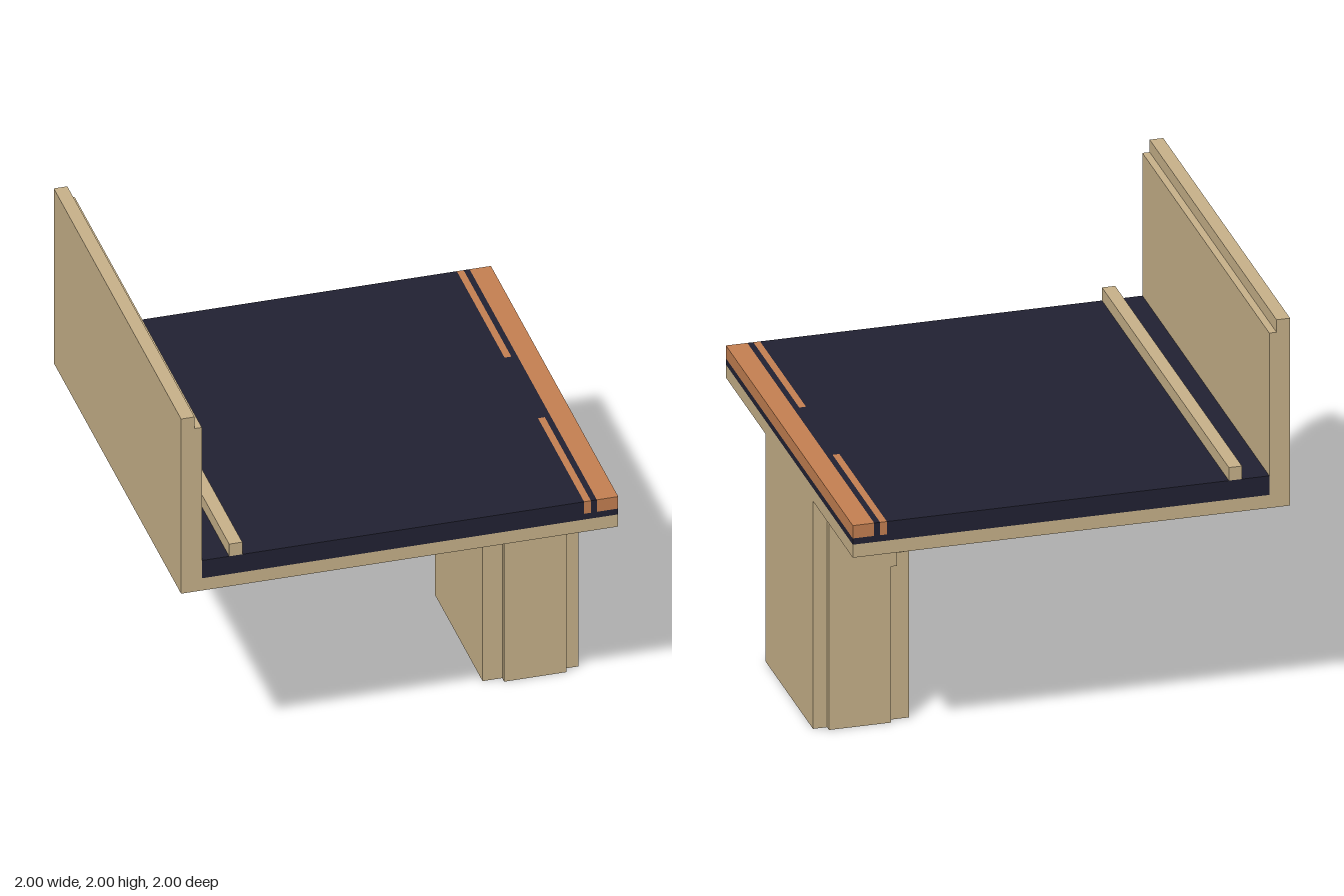
import * as THREE from 'three';

export function createModel() {
  const group = new THREE.Group();
  const stone = new THREE.MeshStandardMaterial({ color: 0xc9b38b });
  stone.name = 'sandstone';
  const navy = new THREE.MeshStandardMaterial({ color: 0x222233 });
  navy.name = 'dark navy';
  const orange = new THREE.MeshStandardMaterial({ color: 0xc68152 });
  orange.name = 'terracotta';

  // Extrude an x/y profile between two z positions
  function extrude(name, points, z0, z1, material) {
    const shape = new THREE.Shape(points.map(([x, y]) => new THREE.Vector2(x, y)));
    const geometry = new THREE.ExtrudeGeometry(shape, { depth: z1 - z0, bevelEnabled: false });
    geometry.translate(0, 0, z0);
    const mesh = new THREE.Mesh(geometry, material);
    mesh.name = name;
    group.add(mesh);
  }

  // Box given by its limits
  function box(name, x0, x1, y0, y1, z0, z1, material) {
    const mesh = new THREE.Mesh(new THREE.BoxGeometry(x1 - x0, y1 - y0, z1 - z0), material);
    mesh.position.set((x0 + x1) / 2, (y0 + y1) / 2, (z0 + z1) / 2);
    mesh.name = name;
    group.add(mesh);
  }

  // Deck slab and parapet wall with stepped top
  extrude('deckAndParapet', [
    [-1, 1.097], [1, 1.097], [1, 1.16], [-0.905, 1.16],
    [-0.905, 1.94], [-0.938, 1.94], [-0.938, 2], [-1, 2],
  ], -1, 1, stone);

  // Pier core with stepped bracket
  extrude('pierCore', [
    [1, 0], [1, 1.097], [0.092, 1.097], [0.092, 1.065], [0.123, 1.065], [0.123, 0.94],
    [0.187, 0.94], [0.187, 0.91], [0.28, 0.91], [0.28, 0.848], [0.405, 0.848],
    [0.405, 0.815], [0.562, 0.815], [0.562, 0],
  ], -0.373, 0.373, stone);

  // Raised panels on the front and back of the pier
  const panel = [
    [0.936, 0], [0.936, 1.097], [0.155, 1.097], [0.155, 1.004], [0.218, 1.004], [0.218, 0.94],
    [0.311, 0.94], [0.311, 0.91], [0.438, 0.91], [0.438, 0.848], [0.593, 0.848],
    [0.593, 0.815], [0.624, 0.815], [0.624, 0.752], [0.652, 0.752], [0.652, 0],
  ];
  extrude('frontPierPanel', panel, 0.373, 0.404, stone);
  extrude('backPierPanel', panel, -0.404, -0.373, stone);

  // Dark paving, leaving slots for the edging
  box('pavingBase', -0.905, 1, 1.16, 1.19, -1, 1, navy);
  box('paving', -0.905, 0.844, 1.19, 1.252, -1, 1, navy);
  box('pavingGap', 0.875, 0.902, 1.19, 1.252, -1, 1, navy);
  box('pavingLink', 0.844, 0.875, 1.19, 1.252, -0.25, 0.275, navy);

  // Inlaid edge border and warning strips
  box('edgeBorder', 0.902, 1, 1.19, 1.252, -1, 1, orange);
  box('backStrip', 0.844, 0.875, 1.19, 1.252, -1, -0.25, orange);
  box('frontStrip', 0.844, 0.875, 1.19, 1.252, 0.275, 1, orange);

  // Low kerb along the parapet
  box('kerb', -0.78, -0.72, 1.252, 1.315, -1, 1, stone);

  return group;
}
